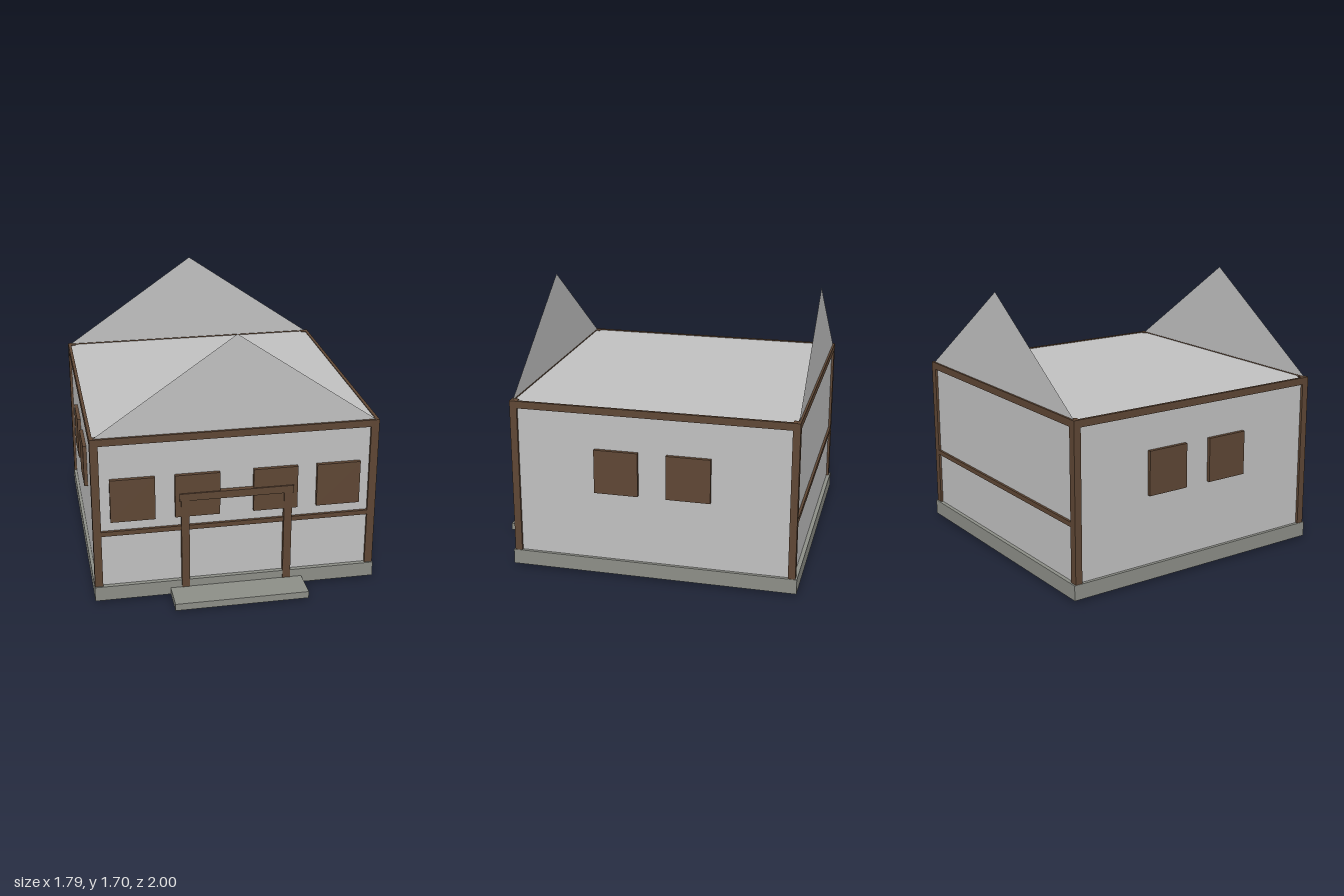
import * as THREE from 'three';

export function createModel() {
  const house = new THREE.Group();
  house.name = 'house';

  const plaster = new THREE.MeshStandardMaterial({ color: 0xc0c0c0, side: THREE.DoubleSide });
  plaster.name = 'plaster';
  const stone = new THREE.MeshStandardMaterial({ color: 0x8c8e87 });
  stone.name = 'stone';
  const timber = new THREE.MeshStandardMaterial({ color: 0x5e4634 });
  timber.name = 'timber';

  // Box given by its minimum and maximum on each axis
  function box(name, material, [x0, x1], [y0, y1], [z0, z1]) {
    const mesh = new THREE.Mesh(new THREE.BoxGeometry(x1 - x0, y1 - y0, z1 - z0), material);
    mesh.position.set((x0 + x1) / 2, (y0 + y1) / 2, (z0 + z1) / 2);
    mesh.name = name;
    house.add(mesh);
  }
  // Range mirrored to the side given by s
  const side = (s, a, b) => (s > 0 ? [a, b] : [-b, -a]);

  // Body, foundation and doorstep
  box('walls', plaster, [-0.873, 0.873], [0.1, 1.095], [-0.975, 0.772]);
  box('foundation', stone, [-0.893, 0.893], [0.015, 0.11], [-1, 0.8]);
  box('doorstep', stone, [-0.42, 0.42], [0.015, 0.06], [0.8, 1]);

  // Thin gables at both ends
  const triangle = new THREE.Shape([
    new THREE.Vector2(-0.873, 1.097),
    new THREE.Vector2(0.873, 1.097),
    new THREE.Vector2(0, 1.7),
  ]);
  for (const [name, z] of [['frontGable', 0.774], ['backGable', -0.977]]) {
    const gable = new THREE.Mesh(new THREE.ShapeGeometry(triangle), plaster);
    gable.position.z = z;
    gable.name = name;
    house.add(gable);
  }

  // Timber frame: corner posts, top beams and middle rails
  for (const s of [1, -1]) {
    box('cornerPost', timber, side(s, 0.84, 0.89), [0.11, 1.1], [0.745, 0.79]);
    box('cornerPost', timber, side(s, 0.84, 0.89), [0.11, 1.1], [-0.99, -0.945]);
    box('sideBeam', timber, side(s, 0.87, 0.89), [1.055, 1.1], [-0.99, 0.79]);
  }
  for (const [end, z] of [['front', [0.77, 0.79]], ['back', [-0.99, -0.97]]]) {
    box(end + 'Beam', timber, [-0.89, 0.89], [1.055, 1.1], z);
    box(end + 'Rail', timber, [-0.84, 0.84], [0.455, 0.485], z);
  }

  // Shutters on the front and both sides
  for (const s of [1, -1]) {
    box('frontShutter', timber, side(s, 0.105, 0.383), [0.55, 0.83], [0.765, 0.797]);
    box('frontShutter', timber, side(s, 0.505, 0.78), [0.55, 0.83], [0.765, 0.797]);
    box('sideShutter', timber, side(s, 0.865, 0.896), [0.55, 0.83], [-0.015, 0.26]);
    box('sideShutter', timber, side(s, 0.865, 0.896), [0.55, 0.83], [-0.465, -0.19]);
  }

  // Door frame
  for (const s of [1, -1]) {
    box('doorPost', timber, side(s, 0.297, 0.347), [0, 0.67], [0.765, 0.803]);
  }
  box('doorHeader', timber, [-0.357, 0.357], [0.66, 0.708], [0.77, 0.806]);

  return house;
}
